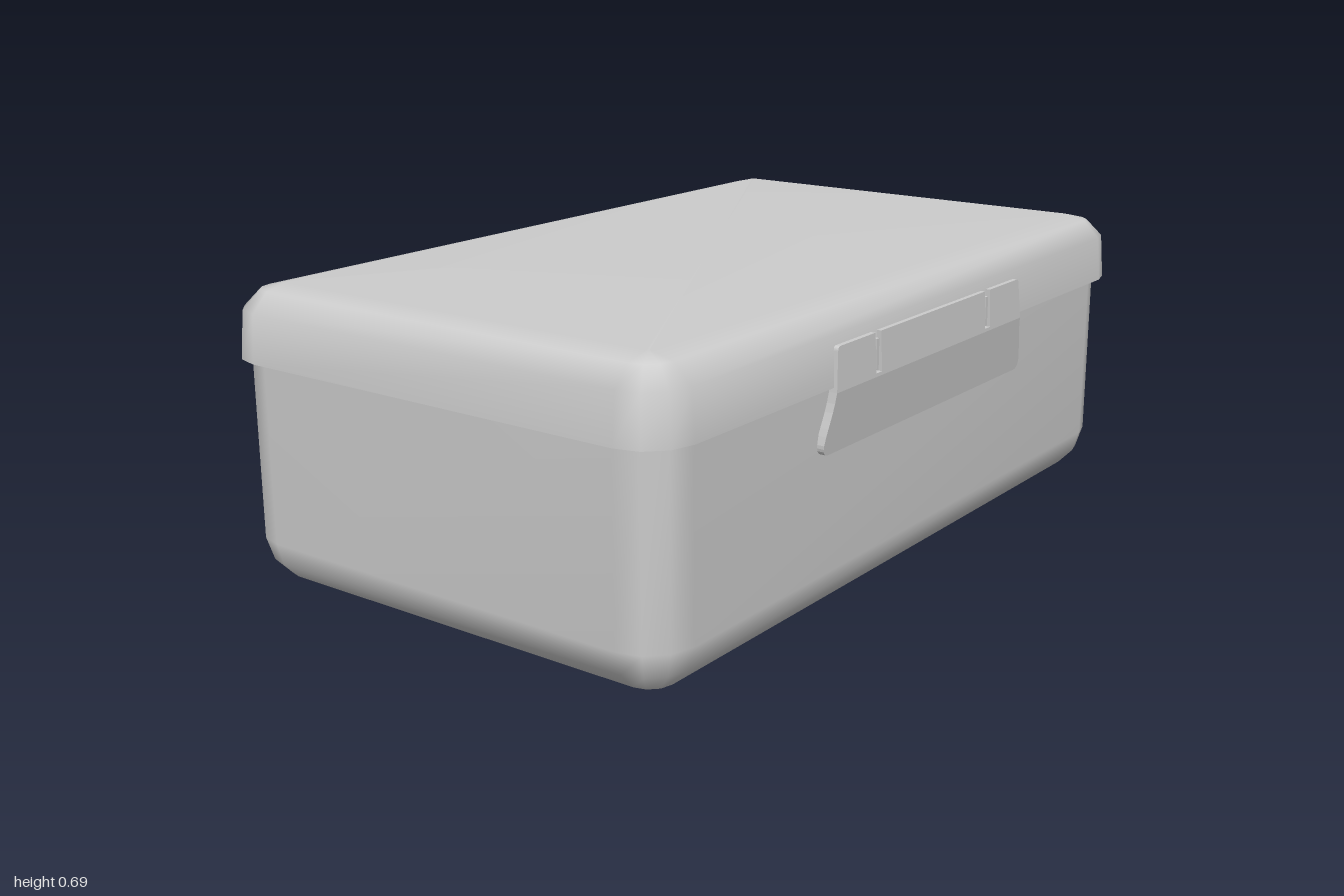
import * as THREE from 'three';
import { mergeVertices } from 'three/addons/utils/BufferGeometryUtils.js';

const material = new THREE.MeshStandardMaterial({ color: 0xcccccc });
const CORNER = 0.11;

function addMesh(parent, name, geometry) {
  const mesh = new THREE.Mesh(geometry, material);
  mesh.name = name;
  parent.add(mesh);
  return mesh;
}

// One rounded rectangle at height y, shrunk by inset; three segments per corner
function ring(halfX, halfZ, y, inset) {
  const r = Math.max(CORNER - inset, 0);
  const cx = Math.max(halfX - inset - r, 0), cz = Math.max(halfZ - inset - r, 0);
  const points = [];
  for (let corner = 0; corner < 4; corner++) {
    const sx = corner === 0 || corner === 3 ? 1 : -1;
    const sz = corner < 2 ? 1 : -1;
    for (let s = 0; s <= 3; s++) {
      const a = (corner + s / 3) * Math.PI / 2;
      points.push(sx * cx + r * Math.cos(a), y, sz * cz + r * Math.sin(a));
    }
  }
  return points;
}

// Skin stacked rings; profile entries are [y, inset], and inset 9 closes at the centre
function loftBox(halfX, halfZ, profile) {
  const positions = profile.flatMap(([y, inset]) => ring(halfX, halfZ, y, inset));
  const index = [];
  for (let i = 0; i < profile.length - 1; i++) {
    for (let j = 0; j < 16; j++) {
      const a = i * 16 + j, b = i * 16 + (j + 1) % 16;
      index.push(a, a + 16, b, b, a + 16, b + 16);
    }
  }
  let geometry = new THREE.BufferGeometry();
  geometry.setAttribute('position', new THREE.Float32BufferAttribute(positions, 3));
  geometry.setIndex(index);
  geometry = mergeVertices(geometry);
  geometry.computeVertexNormals();
  return geometry;
}

// Extrude a z-y outline and lean it so its outer face runs from x0 at y0 to x1 at y1
function leaningPlate(shape, thickness, [y0, x0], [y1, x1]) {
  const geometry = new THREE.ExtrudeGeometry(shape, { depth: thickness, bevelEnabled: false, curveSegments: 6 });
  geometry.rotateY(Math.PI / 2);
  const p = geometry.attributes.position;
  for (let i = 0; i < p.count; i++) {
    const t = (p.getY(i) - y0) / (y1 - y0);
    p.setX(i, p.getX(i) - thickness + x0 + (x1 - x0) * t);
  }
  geometry.computeVertexNormals();
  return geometry;
}

function createClasp() {
  const clasp = new THREE.Group();
  clasp.name = 'clasp';
  const low = [0.385, 0.6], bend = [0.52, 0.615], high = [0.617, 0.61];

  // Flared pull skirt below the bend
  const skirt = new THREE.Shape();
  skirt.moveTo(-0.415, 0.52);
  skirt.bezierCurveTo(-0.42, 0.47, -0.435, 0.45, -0.442, 0.41);
  skirt.quadraticCurveTo(-0.444, 0.385, -0.42, 0.385);
  skirt.lineTo(0.42, 0.385);
  skirt.quadraticCurveTo(0.444, 0.385, 0.442, 0.41);
  skirt.bezierCurveTo(0.435, 0.45, 0.42, 0.47, 0.415, 0.52);
  addMesh(clasp, 'claspSkirt', leaningPlate(skirt, 0.02, low, bend));

  // Upper plate with two narrow slots cut from its top edge
  const plate = new THREE.Shape();
  plate.moveTo(-0.415, 0.52);
  plate.lineTo(0.415, 0.52);
  plate.lineTo(0.407, 0.607);
  plate.quadraticCurveTo(0.406, 0.617, 0.397, 0.617);
  for (const z of [0.247, -0.247]) {
    plate.lineTo(z + 0.012, 0.617);
    plate.lineTo(z + 0.012, 0.528);
    plate.lineTo(z - 0.012, 0.528);
    plate.lineTo(z - 0.012, 0.617);
  }
  plate.lineTo(-0.397, 0.617);
  plate.quadraticCurveTo(-0.406, 0.617, -0.407, 0.607);
  addMesh(clasp, 'claspPlate', leaningPlate(plate, 0.02, bend, high));

  // Hinge tongue standing in each slot
  for (const z of [0.247, -0.247]) {
    const tongue = new THREE.BoxGeometry(0.016, 0.07, 0.01);
    addMesh(clasp, 'hingeTongue', tongue).position.set(0.602, 0.567, z);
  }
  return clasp;
}

export function createModel() {
  const model = new THREE.Group();
  model.name = 'lunchBox';

  // Tub with a rounded floor, tucked under the lid
  const body = loftBox(0.598, 0.978, [
    [0, 9], [0, 0.11], [0.015, 0.055], [0.055, 0.017], [0.11, 0], [0.55, 0],
  ]);
  addMesh(model, 'body', body).position.x = -0.0125;

  // Lid shell, slightly tapered
  const lid = loftBox(0.613, 1, [
    [0.53, 0], [0.64, 0.009], [0.682, 0.05], [0.695, 0.105], [0.695, 9],
  ]);
  addMesh(model, 'lid', lid).position.x = -0.007;

  // Flat underside of the lid overhang
  const lip = loftBox(0.613, 1, [[0.53, 0.04], [0.53, 0]]);
  addMesh(model, 'lidLip', lip).position.x = -0.007;

  model.add(createClasp());
  return model;
}
